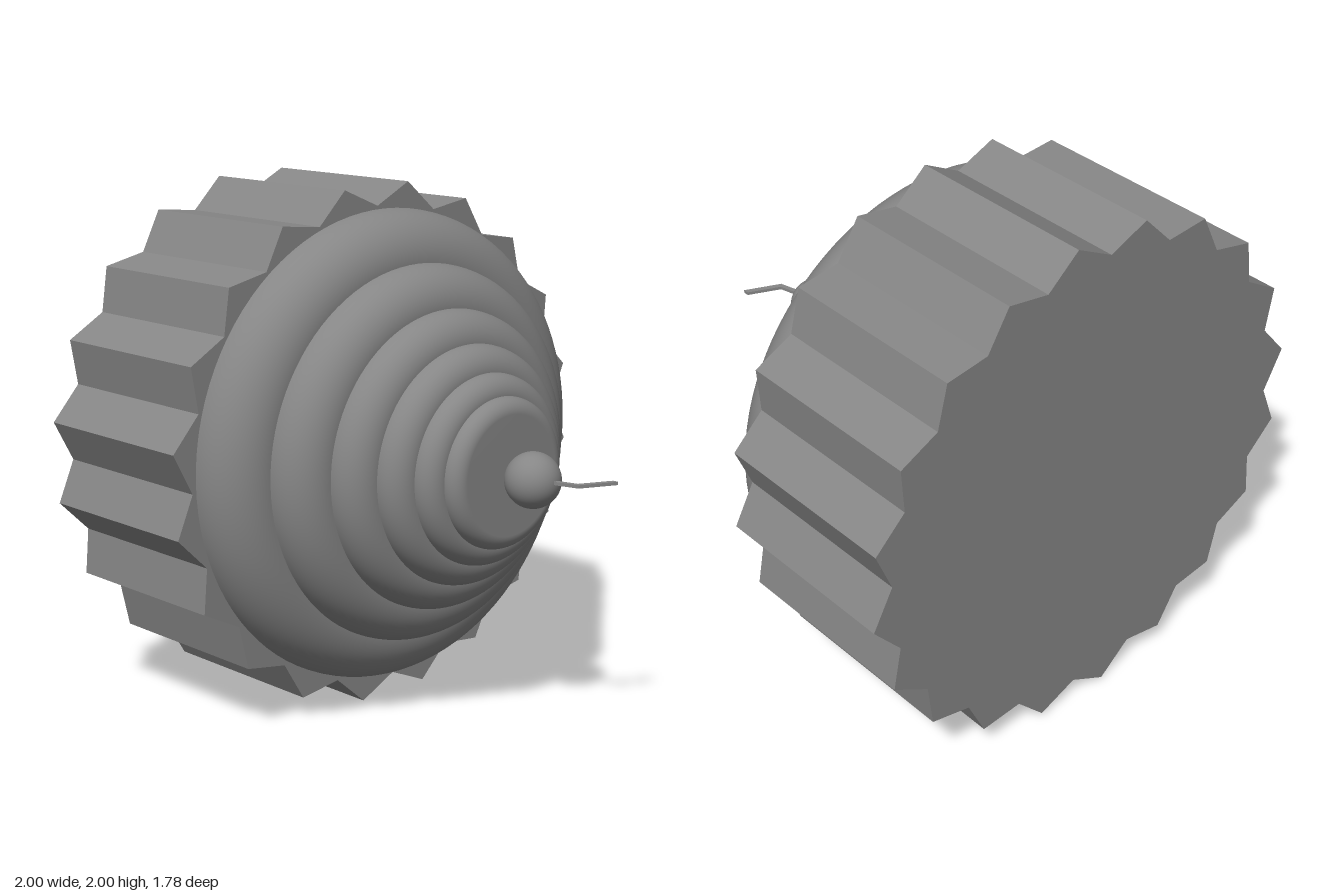
import * as THREE from 'three';

const TEETH = 20;
const BACK = -0.892, RIM = -0.144;

// Extruded part with a name
function extrude(name, points, depth, material) {
  const shape = new THREE.Shape(points.map(([x, y]) => new THREE.Vector2(x, y)));
  const mesh = new THREE.Mesh(
    new THREE.ExtrudeGeometry(shape, { depth, bevelEnabled: false }), material);
  mesh.name = name;
  return mesh;
}

// Disc along z whose front edge is a full quarter round
function tierGeometry(radius, z0, z1) {
  const round = z1 - z0;
  const profile = [];
  for (let i = 0; i <= 16; i++) {
    const a = (i / 16) * Math.PI / 2;
    profile.push(new THREE.Vector2(radius - round + round * Math.cos(a), z0 + round * Math.sin(a)));
  }
  profile.push(new THREE.Vector2(0, z1));
  return new THREE.LatheGeometry(profile, 96).rotateX(Math.PI / 2);
}

export function createModel() {
  const material = new THREE.MeshStandardMaterial({ color: 0x868686 });
  const model = new THREE.Group();
  model.name = 'cupcake';

  // Pleated paper cup, lying on its side with the base at the back
  const outline = [];
  for (let i = 0; i < TEETH * 2; i++) {
    const r = i % 2 ? 0.92 : 1.007;
    const a = THREE.MathUtils.degToRad(83.2 + (i * 180) / TEETH);
    outline.push([r * Math.cos(a), r * Math.sin(a)]);
  }
  const cup = extrude('pleatedCup', outline, RIM - BACK, material);
  cup.position.z = BACK;
  model.add(cup);

  // Icing tiers, shrinking toward the front
  const radii = [0.904, 0.716, 0.564, 0.449, 0.356, 0.281];
  const steps = [RIM, 0.042, 0.192, 0.308, 0.402, 0.476, 0.533];
  const icing = new THREE.Group();
  icing.name = 'icing';
  radii.forEach((r, i) => {
    const tier = new THREE.Mesh(tierGeometry(r, steps[i], steps[i + 1]), material);
    tier.name = 'icingTier' + (i + 1);
    icing.add(tier);
  });
  icing.position.y = 0.003;
  model.add(icing);

  // Cherry
  const cherry = new THREE.Mesh(new THREE.SphereGeometry(0.103, 48, 32), material);
  cherry.name = 'cherry';
  cherry.position.set(0.002, 0.005, 0.636);
  model.add(cherry);

  // Bent flat stem, drawn in x and z and thickened along y
  const stem = extrude('cherryStem', [
    [0, -0.73], [0.027, -0.832], [0.168, -0.892],
    [0.168, -0.869], [0.042, -0.815], [0.02, -0.73],
  ], 0.012, material);
  stem.rotation.x = -Math.PI / 2;
  stem.position.y = 0.005;
  model.add(stem);

  model.position.y = 1;
  const root = new THREE.Group();
  root.add(model);
  return root;
}
